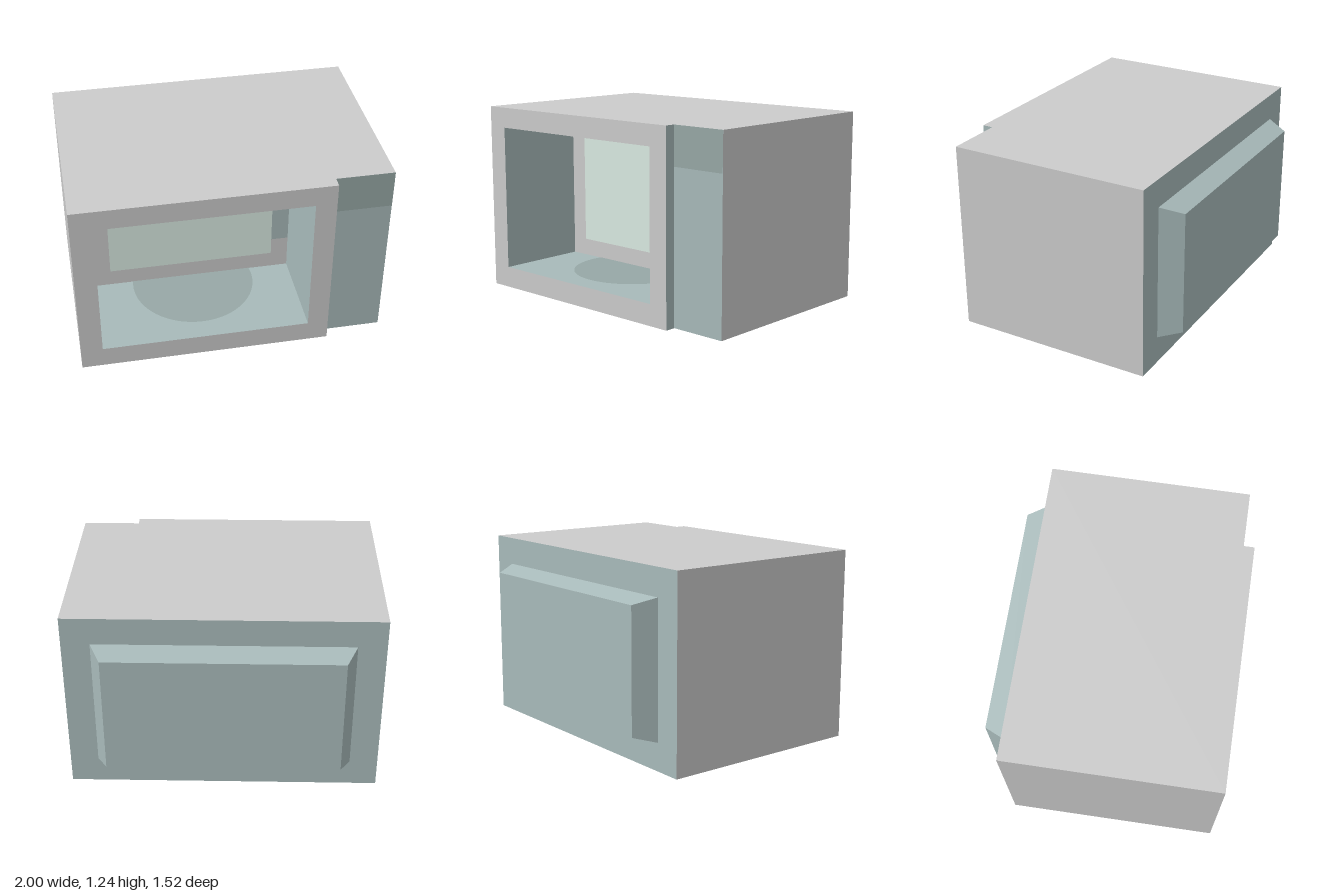
import * as THREE from 'three';

const H = 1.24, BACK = -0.62, FRONT = 0.76, PANEL = 0.69, STEP = 0.625, DEEP = 0.14;

const material = (color) => new THREE.MeshStandardMaterial({ color });
const grey = material(0xcccccc);
const slate = material(0xa8baba);
const darkSlate = material(0x97a8a6);
const paleGreen = material(0xdaebe2);

// Rectangle as a counter-clockwise ring of corners
const rect = (x0, y0, x1, y1) => [[x0, y0], [x1, y0], [x1, y1], [x0, y1]];
const atZ = (ring, z) => ring.map(([x, y]) => [x, y, z]);
const closed = (ring) => [...ring, ring[0]];

// Flat walls between two matching rows of points
function strip(lower, upper) {
  const pos = [];
  for (let i = 0; i < lower.length - 1; i++) {
    const [a, b, c, d] = [lower[i], lower[i + 1], upper[i + 1], upper[i]];
    for (const p of [a, b, c, a, c, d]) pos.push(...p);
  }
  const g = new THREE.BufferGeometry();
  g.setAttribute('position', new THREE.Float32BufferAttribute(pos, 3));
  g.computeVertexNormals();
  return g;
}

// Upright walls above a footprint of [x, z] points
const walls = (path) => strip(path.map(([x, z]) => [x, 0, z]), path.map(([x, z]) => [x, H, z]));

// Flat polygon, optionally with an opening
function sheet(outline, hole) {
  const toPath = (pts) => pts.map(([x, y]) => new THREE.Vector2(x, y));
  const shape = new THREE.Shape(toPath(outline));
  if (hole) shape.holes.push(new THREE.Path(toPath(hole)));
  return new THREE.ShapeGeometry(shape);
}

export function createModel() {
  const model = new THREE.Group();
  const add = (name, geometry, mat) => {
    const mesh = new THREE.Mesh(geometry, mat);
    mesh.name = name;
    model.add(mesh);
    return mesh;
  };

  // Casing: stepped top and bottom, plain sides
  const footprint = [[-1, -FRONT], [STEP, -FRONT], [STEP, -PANEL], [1, -PANEL], [1, -BACK], [-1, -BACK]];
  add('casingTop', sheet(footprint).rotateX(-Math.PI / 2).translate(0, H, 0), grey);
  add('casingBottom', sheet(footprint.map(([x, y]) => [x, -y])).rotateX(Math.PI / 2), grey);
  add('leftSide', walls([[1, PANEL], [1, BACK]]), grey);
  add('rightSide', walls([[-1, BACK], [-1, FRONT]]), grey);

  // Recessed control panel with a darker display band
  add('controlPanel', walls([[STEP, FRONT], [STEP, PANEL], [1, PANEL]]), slate);
  add('display', sheet(rect(STEP, 0.99, 1, H)).translate(0, 0, PANEL + 0.002), darkSlate);

  // Front frame and open cooking cavity
  const opening = rect(-0.86, 0.14, 0.49, 1.105);
  add('frontFrame', sheet(rect(-1, 0, STEP, H), opening).translate(0, 0, FRONT), grey);
  add('cavityWalls', strip(closed(atZ(opening, FRONT)), closed(atZ(opening, DEEP))), slate);
  add('cavityBack', sheet(opening).translate(0, 0, DEEP), grey);
  add('window', sheet(rect(-0.74, 0.255, 0.375, 0.99)).translate(0, 0, DEEP + 0.002), paleGreen);
  add('handleStrip', sheet(rect(0.375, 0.375, 0.49, 0.87)).translate(0, 0, DEEP + 0.002), slate);

  // Turntable disc, cut off by the cavity's back wall
  const radius = 0.41, centreZ = 0.21;
  const cut = Math.asin((centreZ - DEEP) / radius);
  const disc = new THREE.Shape().absarc(0, 0, radius, Math.PI - cut, Math.PI * 2 + cut, false);
  add('turntable', new THREE.ShapeGeometry(disc, 40).rotateX(-Math.PI / 2), darkSlate)
    .position.set(-0.185, 0.142, centreZ);

  // Back plate with a tapered housing
  const base = rect(-0.82, 0.18, 0.82, 1.06), tip = rect(-0.75, 0.22, 0.75, 1.02);
  add('backPlate', sheet(rect(-1, 0, 1, H), base).rotateY(Math.PI).translate(0, 0, BACK), slate);
  add('housingSides', strip(closed(atZ(tip, -FRONT)), closed(atZ(base, BACK))), slate);
  add('housingBack', sheet(tip).rotateY(Math.PI).translate(0, 0, -FRONT), slate);

  return model;
}
